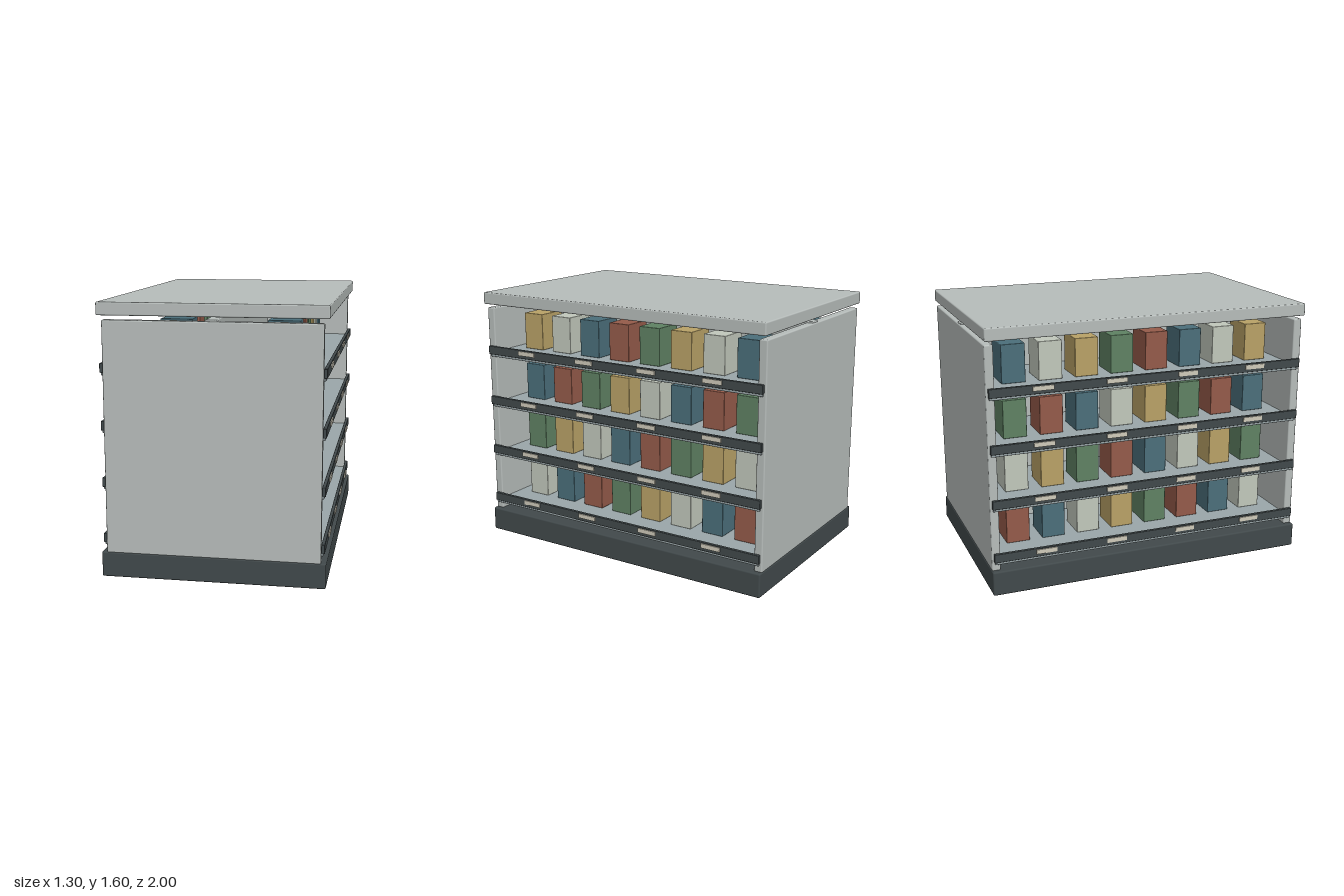
import * as THREE from 'three';
import { RoundedBoxGeometry } from 'three/addons/geometries/RoundedBoxGeometry.js';

const mat = (color) => new THREE.MeshStandardMaterial({ color });

// Box given by its lower and upper corners, with an optional rounded edge
function block(parent, name, material, [x0, y0, z0], [x1, y1, z1], radius = 0) {
  const size = [x1 - x0, y1 - y0, z1 - z0];
  const geometry = radius
    ? new RoundedBoxGeometry(...size, 2, radius)
    : new THREE.BoxGeometry(...size);
  const mesh = new THREE.Mesh(geometry, material);
  mesh.name = name;
  mesh.position.set((x0 + x1) / 2, (y0 + y1) / 2, (z0 + z1) / 2);
  parent.add(mesh);
  return mesh;
}

export function createModel() {
  const model = new THREE.Group();
  model.name = 'shelvingUnit';

  const panel = mat(0xb7bdbb);
  const board = mat(0x9ba7aa);
  const dark = mat(0x41494b);
  const tag = mat(0xd0cbbb);
  const goods = [0xb9a267, 0xc2c8bc, 0x4b6f7b, 0x955b4a, 0x5f8263].map(mat);

  // Base, canopy and the panel down the middle
  block(model, 'base', dark, [-0.65, 0, -1], [0.65, 0.15, 1], 0.01);
  block(model, 'canopy', panel, [-0.65, 1.52, -1], [0.65, 1.595, 1], 0.008);
  block(model, 'centrePanel', panel, [-0.035, 0.15, -0.99], [0.035, 1.505, 0.99], 0.006);

  // End panels
  block(model, 'frontEndPanel', panel, [-0.62, 0.145, 0.945], [0.62, 1.495, 0.997], 0.008);
  block(model, 'backEndPanel', panel, [-0.62, 0.145, -0.997], [0.62, 1.495, -0.945], 0.008);

  // Four shelves on each side, with price rail, tags and a row of cartons
  for (const side of [1, -1]) {
    for (let row = 0; row < 4; row++) {
      const shelf = new THREE.Group();
      shelf.name = `${side > 0 ? 'left' : 'right'}Shelf${row + 1}`;
      shelf.position.y = 0.188 + row * 0.331;
      model.add(shelf);

      // Spans run outward from the middle and are mirrored for the other side
      const part = (name, material, [x0, x1], [y0, y1], [z0, z1], radius) => {
        const [a, b] = side > 0 ? [x0, x1] : [-x1, -x0];
        block(shelf, name, material, [a, y0, z0], [b, y1, z1], radius);
      };

      part('shelfBoard', board, [0.03, 0.633], [0, 0.033], [-0.98, 0.98], 0.004);
      part('priceRail', dark, [0.62, 0.641], [0.015, 0.069], [-0.985, 0.985], 0.004);

      for (const z of [-0.67, -0.225, 0.225, 0.67])
        part('priceTag', tag, [0.64, 0.648], [0.035, 0.062], [z - 0.063, z + 0.063]);

      for (let i = 0; i < 8; i++) {
        const z = 0.783 - i * 0.2236;
        const material = goods[(1 + 3 * row + i) % goods.length];
        part('carton', material, [0.23, 0.43], [0.033, 0.265], [z - 0.072, z + 0.072], 0.004);
      }
    }
  }

  return model;
}
